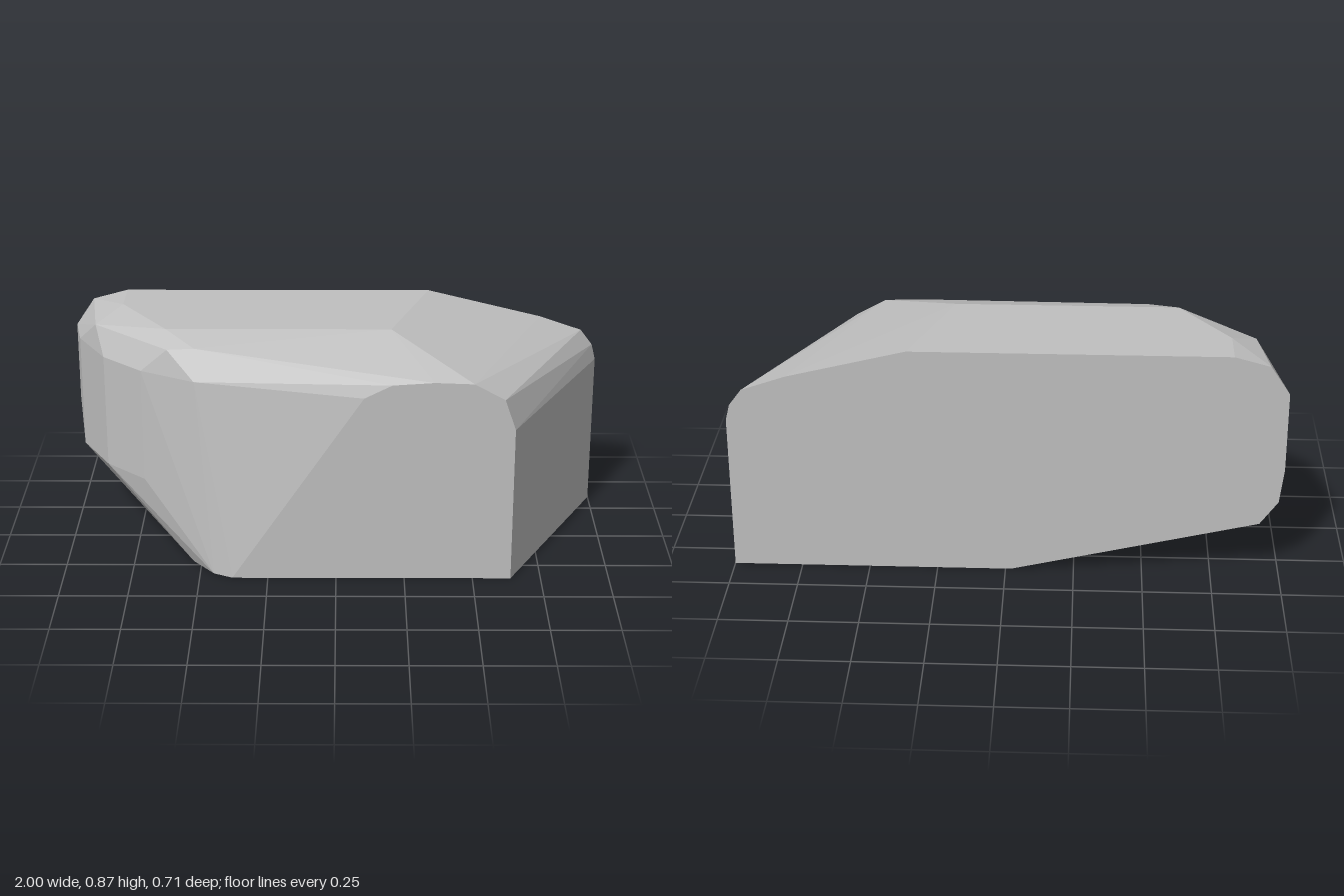
import * as THREE from 'three';
import { ConvexGeometry } from 'three/addons/geometries/ConvexGeometry.js';

export function createModel() {
  const group = new THREE.Group();
  group.name = 'facetedBlock';
  const grey = new THREE.MeshStandardMaterial({ color: 0xc0c0c0 });
  grey.name = 'plainGrey';

  const points = [];
  const add = (x, y, z) => points.push(new THREE.Vector3(x, y, z));
  const D = 0.355;

  // flat back outline
  [[1, 0], [1, 0.59], [0.985, 0.65], [0.94, 0.71], [0.78, 0.765], [0.35, 0.87], [-0.8, 0.87],
    [-0.93, 0.835], [-1, 0.73], [-1, 0.43], [-0.985, 0.3], [-0.92, 0.21], [-0.02, 0]]
    .forEach(([x, y]) => add(x, y, -D));

  // flat front outline
  [[0.64, 0], [0.64, 0.59], [0.6, 0.705], [0.49, 0.765], [0.35, 0.77], [0.2, 0.76],
    [0.1, 0.71], [-0.38, 0]]
    .forEach(([x, y]) => add(x, y, D));

  // rounded corner of the base
  [[-0.45, 0.32], [-0.53, 0.22], [-0.53, 0.09]].forEach(([x, z]) => add(x, 0, z));

  // upright facets of the curved end
  [[-0.97, -0.2], [-0.86, 0], [-0.71, 0.14]].forEach(([x, z]) => {
    add(x, 0.3, z);
    add(x, 0.73, z);
  });
  add(-0.51, 0.73, 0.25);

  // bevelled rim and flat top
  add(-0.895, 0.825, -0.09);
  add(-0.61, 0.825, 0.175);
  add(-0.51, 0.835, 0.19);
  [[-0.8, -0.19], [-0.62, 0.08], [0.2, 0.08]].forEach(([x, z]) => add(x, 0.87, z));

  const block = new THREE.Mesh(new ConvexGeometry(points), grey);
  block.name = 'block';
  group.add(block);
  return group;
}
